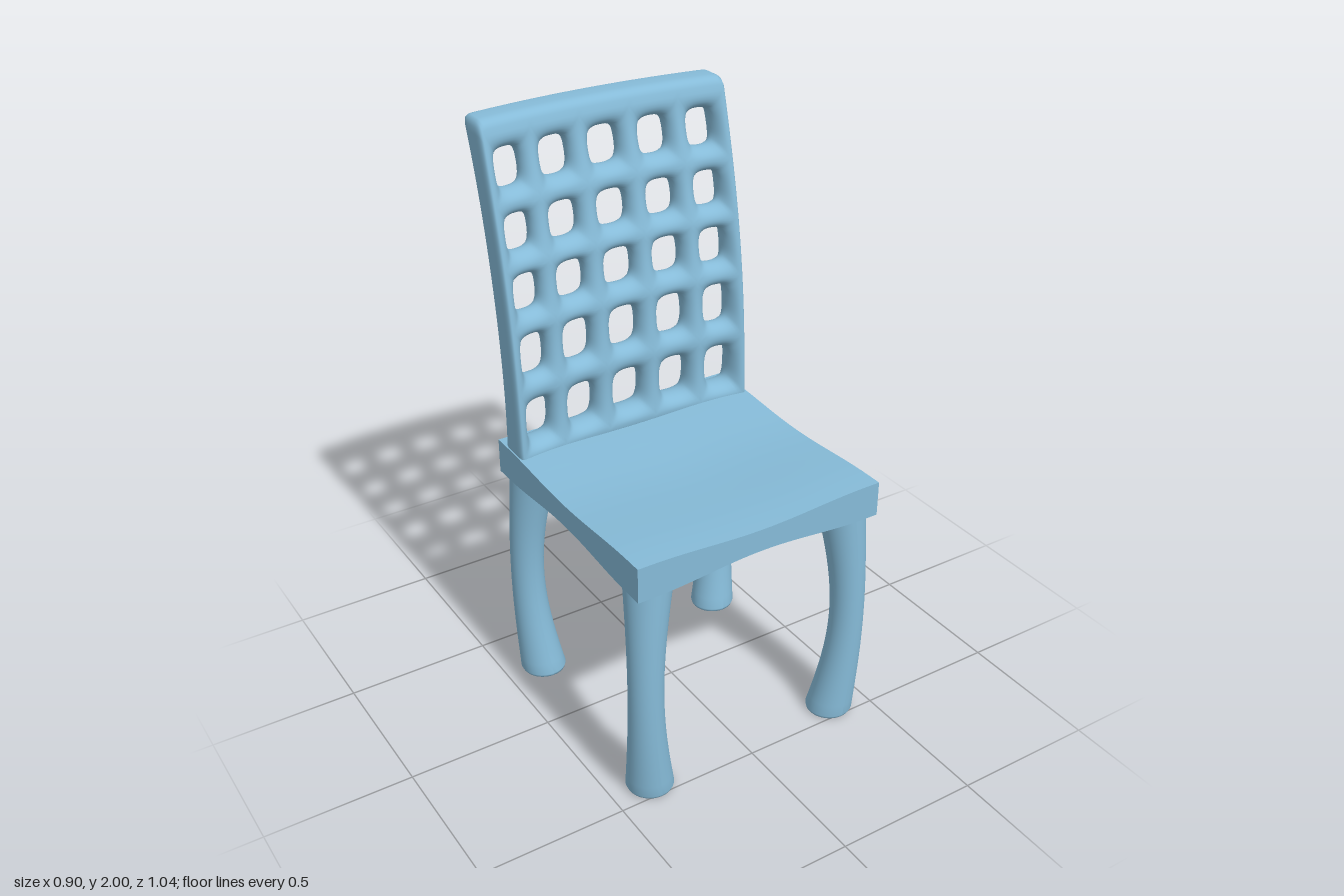
import * as THREE from 'three';
import { mergeGeometries, mergeVertices } from 'three/addons/utils/BufferGeometryUtils.js';

const material = new THREE.MeshStandardMaterial({ color: 0x86bbd8 });

function mesh(geometry, name) {
  const m = new THREE.Mesh(geometry, material);
  m.name = name;
  return m;
}

// Surface of rows x cols quads whose corners come from point(row, col)
function gridSurface(rows, cols, point) {
  const positions = [], index = [];
  for (let j = 0; j <= rows; j++)
    for (let k = 0; k <= cols; k++) positions.push(...point(j, k));
  for (let j = 0; j < rows; j++)
    for (let k = 0; k < cols; k++) {
      const a = j * (cols + 1) + k, d = a + cols + 1;
      index.push(a, a + 1, d + 1, a, d + 1, d);
    }
  const g = new THREE.BufferGeometry();
  g.setAttribute('position', new THREE.Float32BufferAttribute(positions, 3));
  g.setIndex(index);
  return g;
}

// Seat: a slab hollowed above and arched below
function createSeat() {
  const g = new THREE.BoxGeometry(0.89, 1, 0.885, 32, 1, 32);
  const p = g.attributes.position;
  const swell = t => 0.5 * (1 + Math.cos(Math.PI * Math.min(1, Math.abs(t) / 0.9)));
  for (let i = 0; i < p.count; i++) {
    const x = p.getX(i), z = p.getZ(i);
    const s = swell(x / 0.445) + swell(z / 0.4425);
    p.setY(i, p.getY(i) > 0 ? 0.92 - 0.018 * s : 0.8 + 0.025 * s);
    p.setZ(i, z + 0.0775);
  }
  g.computeVertexNormals();
  return mesh(g, 'seat');
}

// Leg: waisted round post that bows outwards to its corner
function createLeg(sx, sz, name) {
  const height = 0.83, profile = [[0, 0], [0.066, 0], [0.075, 0.004], [0.079, 0.014]];
  const bow = y => Math.sin(Math.PI * Math.min(1, y / height));
  for (let i = 1; i <= 20; i++) {
    const y = 0.014 + (height - 0.014) * i / 20;
    profile.push([0.08 - 0.023 * bow(y), y]);
  }
  const g = new THREE.LatheGeometry(profile.map(q => new THREE.Vector2(...q)), 32);
  const p = g.attributes.position;
  for (let i = 0; i < p.count; i++) {
    const b = 0.03 * bow(p.getY(i));
    p.setX(i, p.getX(i) + sx * b);
    p.setZ(i, p.getZ(i) + sz * b);
  }
  g.computeVertexNormals();
  const leg = mesh(g, name);
  leg.position.set(sx * 0.361, 0, sz > 0 ? 0.439 : -0.283);
  return leg;
}

// Backrest: curved panel of rounded bars around a 5 x 5 field of holes
function createBackrest() {
  const N = 10, M = 8;
  const xs = [-0.425, -0.265, -0.09, 0.09, 0.265, 0.425];
  const ys = [0.915, 1.14, 1.355, 1.55, 1.745, 1.955];
  const columns = [[-0.35, 0.048], [-0.18, 0.053], [0, 0.055], [0.18, 0.053], [0.35, 0.048]];
  const rows = [[1.025, 0.069], [1.25, 0.068], [1.455, 0.059], [1.645, 0.057], [1.84, 0.06]];

  const middle = (x, y) =>
    -0.262 - 0.17 * Math.max(0, (y - 0.95) / 1.05) ** 2 - 0.035 * (1 - (x / 0.442) ** 2);
  const halfDepth = y => 0.052 + 0.008 * (2 * (y - 1.435) / 1.1) ** 4;

  // Point on the unit square's edge, anticlockwise, N steps a side
  const square = k => {
    const side = Math.floor(k / N) % 4, t = -1 + 2 * (k % N) / N;
    return [[1, t], [-t, 1], [-1, -t], [t, -1]][side];
  };

  const parts = [];
  for (let r = 0; r < 5; r++)
    for (let c = 0; c < 5; c++) {
      const [hx, rx] = columns[c], [hy, ry] = rows[r];
      parts.push(gridSurface(2 * M, 4 * N, (j, k) => {
        const [sx, sy] = square(k);
        const bx = THREE.MathUtils.lerp(xs[c], xs[c + 1], (sx + 1) / 2);
        const by = THREE.MathUtils.lerp(ys[r], ys[r + 1], (sy + 1) / 2);
        const n = Math.cbrt(Math.abs(sx) ** 3 + Math.abs(sy) ** 3);
        const a = (Math.PI / 2) * (1 - j / M), u = 1 - Math.cos(a);
        const x = THREE.MathUtils.lerp(hx + rx * sx / n, bx, u);
        const y = THREE.MathUtils.lerp(hy + ry * sy / n, by, u);
        // Bars swell where they cross and keep full depth at the frame
        const frame = Math.abs(bx) > 0.4249 || by > 1.9549 || by < 0.9151;
        const swell = frame ? 1 : 0.86 + 0.14 * (sx * sy) ** 2;
        return [x, y, middle(x, y) + halfDepth(by) * swell * Math.sin(a)];
      }));
    }

  // Rounded rim joining front and back around the panel
  const path = [];
  const steps = (list, add) => {
    for (let i = 0; i < 5; i++)
      for (let k = 0; k < N; k++) add(THREE.MathUtils.lerp(list[i], list[i + 1], k / N));
  };
  steps(ys, y => path.push([0.425, y]));
  steps([...xs].reverse(), x => path.push([x, 1.955]));
  steps([...ys].reverse(), y => path.push([-0.425, y]));
  steps(xs, x => path.push([x, 0.915]));
  path.push(path[0]);

  const radius = 0.022, clamp = THREE.MathUtils.clamp;
  const outer = ([x, y]) => {
    const qx = x * 0.441 / 0.425, qy = 0.885 + (y - 0.915) * 1.115 / 1.04;
    const cx = clamp(qx, -0.441 + radius, 0.441 - radius);
    const cy = clamp(qy, 0.885 + radius, 2 - radius);
    const d = Math.hypot(qx - cx, qy - cy), f = d > radius ? radius / d : 1;
    return [cx + (qx - cx) * f, cy + (qy - cy) * f];
  };
  parts.push(gridSurface(2 * M, path.length - 1, (j, k) => {
    const a = Math.PI * (1 - j / (2 * M));
    const s = Math.sin(a) ** 0.55, c = Math.sign(Math.cos(a)) * Math.abs(Math.cos(a)) ** 0.55;
    const [px, py] = path[k], [qx, qy] = outer(path[k]);
    const x = px + (qx - px) * s, y = py + (qy - py) * s;
    return [x, y, middle(x, y) + halfDepth(py) * c];
  }));

  const g = mergeVertices(mergeGeometries(parts), 1e-4);
  g.computeVertexNormals();
  return mesh(g, 'backrest');
}

export function createModel() {
  const chair = new THREE.Group();
  chair.name = 'chair';
  chair.add(createSeat(), createBackrest());
  for (const sx of [1, -1])
    for (const sz of [1, -1])
      chair.add(createLeg(sx, sz, (sz > 0 ? 'front' : 'back') + (sx > 0 ? 'Left' : 'Right') + 'Leg'));
  return chair;
}
